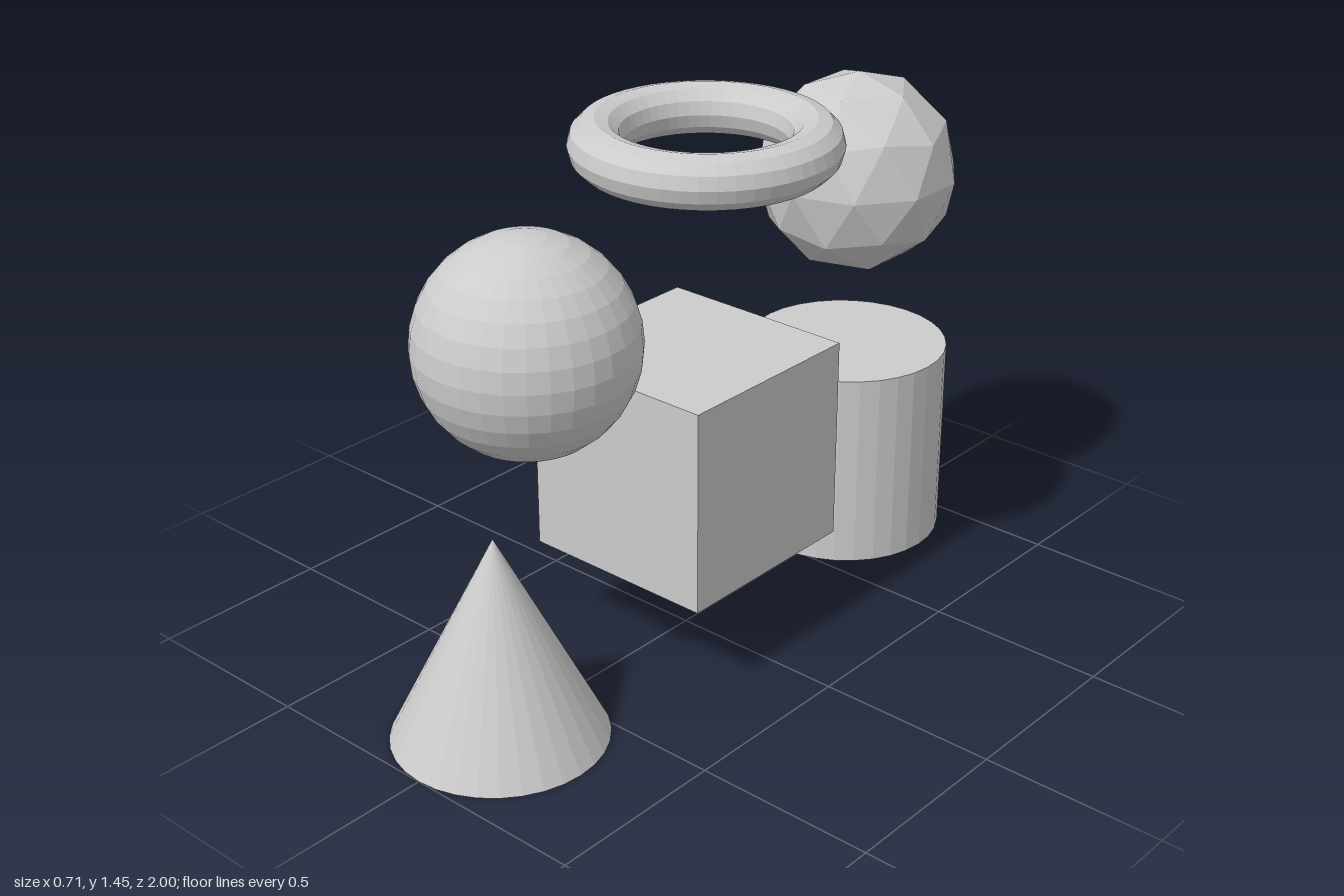
import * as THREE from 'three';

const R = 0.283; // shared half-size of every solid

export function createModel() {
  const model = new THREE.Group();
  const material = new THREE.MeshStandardMaterial({ color: 0xcccccc, flatShading: true });

  // All solids sit on the x = 0 plane
  const add = (name, geometry, y, z) => {
    const mesh = new THREE.Mesh(geometry, material);
    mesh.name = name;
    mesh.position.set(0, y, z);
    model.add(mesh);
  };

  // Lower row
  add('cone', new THREE.ConeGeometry(R, 2 * R, 32), R, 0.717);
  add('cube', new THREE.BoxGeometry(2 * R, 2 * R, 2 * R), 0.548, -0.005);
  add('cylinder', new THREE.CylinderGeometry(R, R, 2 * R, 32), 0.332, -0.7);

  // Upper row
  add('sphere', new THREE.SphereGeometry(R, 32, 16), 1.04, 0.578);
  add('ring', new THREE.TorusGeometry(R, R / 4, 12, 48).rotateX(Math.PI / 2), 1.375, -0.078);

  // Faceted ball, turned so that a five-sided vertex points straight up
  const tilt = Math.atan(2 / (1 + Math.sqrt(5)));
  add('facetedBall', new THREE.IcosahedronGeometry(R, 1).rotateZ(-tilt), 1.127, -0.717);

  return model;
}
